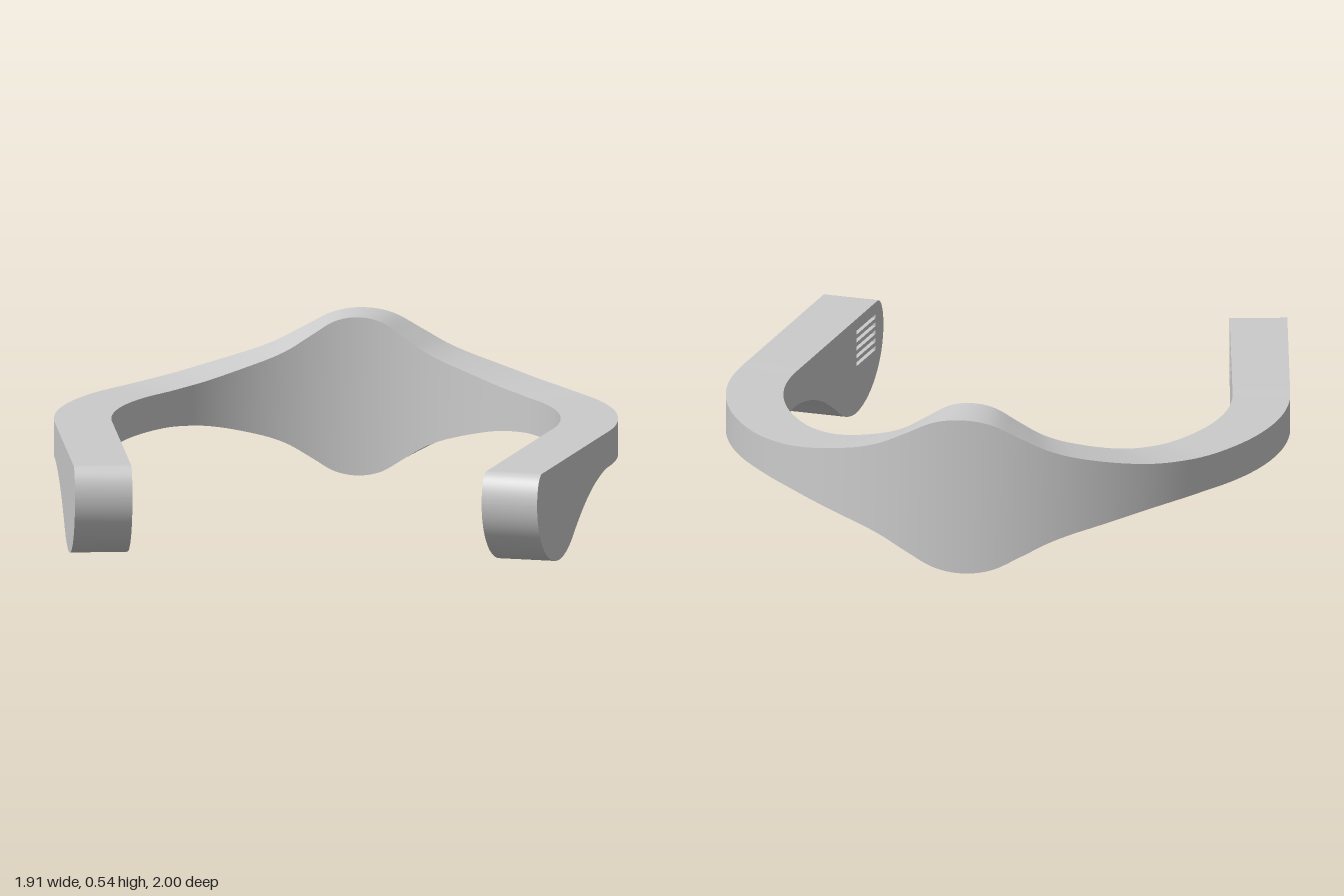
import * as THREE from 'three';
import { mergeGeometries } from 'three/addons/utils/BufferGeometryUtils.js';

const OUT = 0.955, INN = 0.76, CZ = -0.045;       // arc radii and centre
const LEAN = THREE.MathUtils.degToRad(10);        // inward lean of the arms
const ARM = 0.893, MID = 0.272, TOP = 0.333, NOSE = 0.232;

// Smooth curve through [x, y] points, level at both ends
function smooth(pts, x) {
  const n = pts.length - 1;
  if (x <= pts[0][0]) return pts[0][1];
  if (x >= pts[n][0]) return pts[n][1];
  const slope = i => (i === 0 || i === n) ? 0
    : (pts[i + 1][1] - pts[i - 1][1]) / (pts[i + 1][0] - pts[i - 1][0]);
  let i = 0;
  while (x > pts[i + 1][0]) i++;
  const h = pts[i + 1][0] - pts[i][0], t = (x - pts[i][0]) / h, t2 = t * t, t3 = t2 * t;
  return (2 * t3 - 3 * t2 + 1) * pts[i][1] + (t3 - 2 * t2 + t) * h * slope(i)
    + (3 * t2 - 2 * t3) * pts[i + 1][1] + (t3 - t2) * h * slope(i + 1);
}

// Half height of the band by angle from the back
const flare = [[0, 0.272], [6, 0.257], [12, 0.209], [18, 0.161], [25, 0.126],
  [39, 0.081], [50, 0.064], [58, 0.0605]];
// Underside of the arm by distance along it
const belly = [[0, 0.2115], [0.08, 0.202], [0.18, 0.178], [0.285, 0.138], [0.39, 0.083],
  [0.47, 0.035], [0.53, 0.012], [0.608, 0]];

const ellipse = (d, r) => Math.sqrt(Math.max(0, 1 - (d / r) ** 2));
const armTop = s => s < ARM - 0.06 ? TOP
  : NOSE + (TOP - NOSE) * ellipse(s - ARM + 0.06, 0.06);
const armBottom = s => s < 0.608 ? smooth(belly, s)
  : NOSE - NOSE * ellipse(s - 0.608, ARM - 0.608);

// Stations from the back centre to the tip of the left arm
function halfStations() {
  const list = [];
  for (let i = 0; i <= 80; i++) {
    const a = (i / 80) * (Math.PI / 2 + LEAN);
    const h = smooth(flare, THREE.MathUtils.radToDeg(a));
    const at = r => [r * Math.sin(a), CZ - r * Math.cos(a)];
    list.push({ out: at(OUT), inn: at(INN), top: MID + h, bottom: MID - h, arc: true });
  }
  for (let i = 1; i <= 64; i++) {
    const s = ARM * Math.sin((i / 64) * Math.PI / 2);
    const at = r => [r * Math.cos(LEAN) - s * Math.sin(LEAN),
      CZ + r * Math.sin(LEAN) + s * Math.cos(LEAN)];
    list.push({ out: at(OUT), inn: at(INN), top: armTop(s), bottom: armBottom(s), s });
  }
  return list;
}

// Ribbon between two rows of points
function ribbon(stations, a, b) {
  const pos = [], index = [];
  stations.forEach((st, i) => {
    for (const [side, level] of [a, b]) pos.push(st[side][0], st[level], st[side][1]);
    if (i) {
      const k = 2 * i - 2;
      index.push(k, k + 1, k + 2, k + 1, k + 3, k + 2);
    }
  });
  const geo = new THREE.BufferGeometry();
  geo.setAttribute('position', new THREE.Float32BufferAttribute(pos, 3));
  geo.setIndex(index);
  geo.computeVertexNormals();
  return geo;
}

function mirrorX(geo) {
  const m = geo.clone().scale(-1, 1, 1);
  m.setIndex(Array.from(geo.index.array).reverse());
  return m;
}

export function createModel() {
  const group = new THREE.Group();
  const material = new THREE.MeshStandardMaterial({ color: 0xcccccc });
  const add = (name, geo) => {
    const mesh = new THREE.Mesh(geo, material);
    mesh.name = name;
    group.add(mesh);
  };

  // Horseshoe band: top, underside, outer wall and the curved inner wall
  const half = halfStations();
  const flip = ([x, z]) => [-x, z];
  const all = [
    ...half.slice(1).reverse().map(p => ({ ...p, out: flip(p.out), inn: flip(p.inn) })),
    ...half,
  ];
  add('neckband', mergeGeometries([
    ribbon(all, ['out', 'top'], ['inn', 'top']),
    ribbon(all, ['inn', 'bottom'], ['out', 'bottom']),
    ribbon(all, ['out', 'bottom'], ['out', 'top']),
    ribbon(all.filter(p => p.arc), ['inn', 'top'], ['inn', 'bottom']),
  ]));

  // Flat inner wall of an arm, pierced by five vent slots
  const arm = half.filter(p => p.s !== undefined);
  const outline = [[0, TOP], ...arm.map(p => [p.s, p.top]),
    ...arm.slice(0, -1).reverse().map(p => [p.s, p.bottom]), [0, armBottom(0)]];
  const wall = new THREE.Shape(outline.map(p => new THREE.Vector2(...p)));
  const pockets = [];
  const x0 = 0.62, len = 0.19, slotH = 0.014, depth = 0.02;
  for (let i = 0; i < 5; i++) {
    const y = 0.165 + i * 0.028;
    wall.holes.push(new THREE.Path([[x0, y], [x0 + len, y], [x0 + len, y + slotH], [x0, y + slotH]]
      .map(p => new THREE.Vector2(...p))));
    // Box turned inside out makes the recess
    const pocket = new THREE.BoxGeometry(len, slotH, depth).scale(-1, 1, 1);
    pocket.computeVertexNormals();
    pockets.push(pocket.translate(x0 + len / 2, y + slotH / 2, -depth / 2));
  }

  // Place arm parts in the plane of the left inner wall, then mirror them
  const c = Math.cos(LEAN), s = Math.sin(LEAN);
  const place = new THREE.Matrix4().makeBasis(new THREE.Vector3(-s, 0, c),
    new THREE.Vector3(0, 1, 0), new THREE.Vector3(-c, 0, -s))
    .setPosition(INN * c, 0, CZ + INN * s);
  const parts = { ArmInnerWall: new THREE.ShapeGeometry(wall), VentSlots: mergeGeometries(pockets) };
  for (const [name, geo] of Object.entries(parts)) {
    geo.applyMatrix4(place);
    add('left' + name, geo);
    add('right' + name, mirrorX(geo));
  }
  return group;
}
